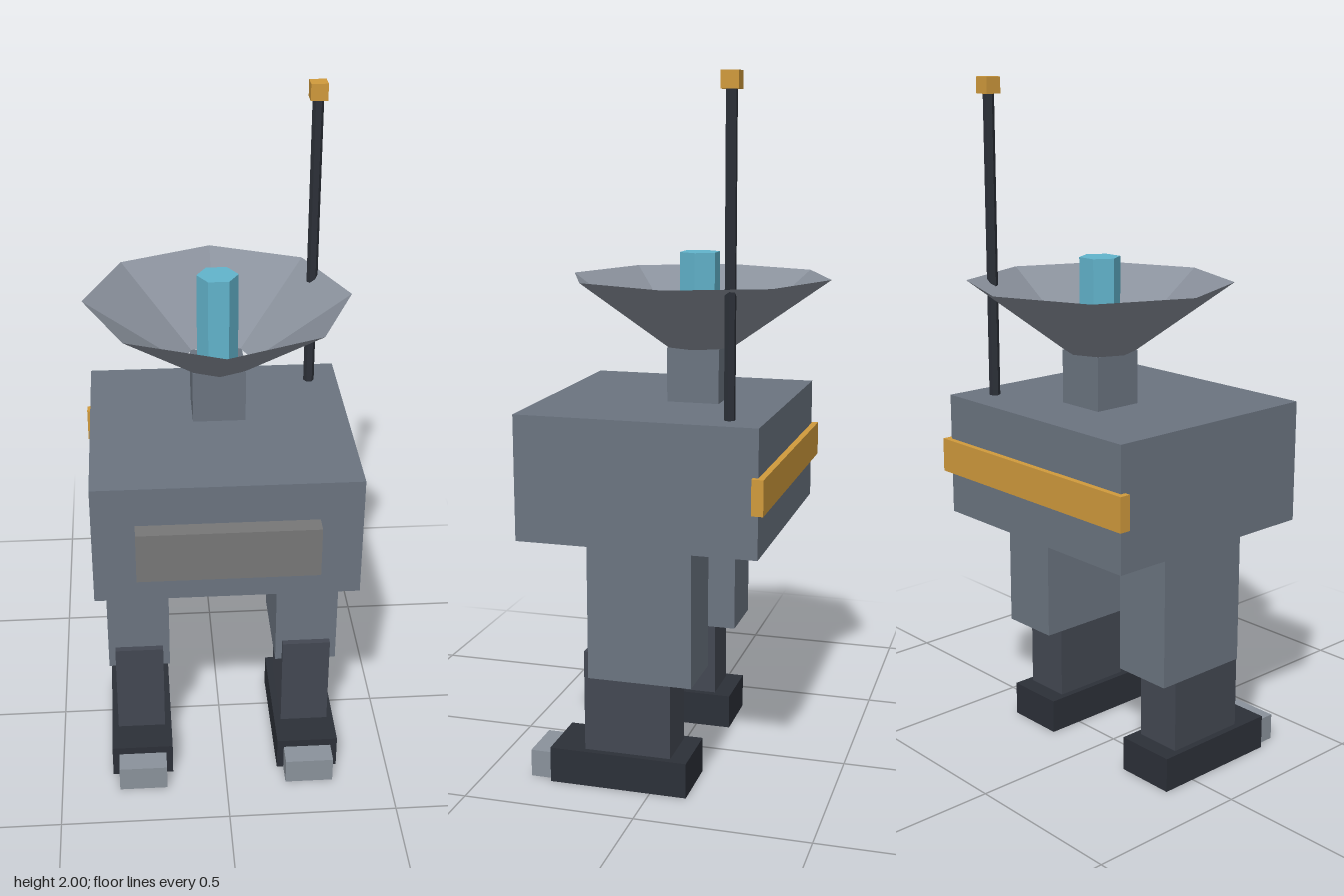
import * as THREE from 'three';

const paint = (color, side = THREE.FrontSide) =>
  new THREE.MeshStandardMaterial({ color, side, flatShading: true });

export function createModel() {
  const model = new THREE.Group();
  model.name = 'walkerRobot';

  const hull = paint(0x6b7480);
  const shinGrey = paint(0x434852);
  const dark = paint(0x2c3038);
  const light = paint(0x8a929b);
  const gold = paint(0xd09a3c);
  const panelGrey = paint(0x777777);
  const cyan = paint(0x62b4cc);
  const dishGrey = paint(0x8a919c, THREE.DoubleSide);

  // Box given by its extents on each axis
  function box(name, [x0, x1], [y0, y1], [z0, z1], material, parent = model) {
    const mesh = new THREE.Mesh(new THREE.BoxGeometry(x1 - x0, y1 - y0, z1 - z0), material);
    mesh.position.set((x0 + x1) / 2, (y0 + y1) / 2, (z0 + z1) / 2);
    mesh.name = name;
    parent.add(mesh);
  }

  // Upright cylinder or cone between two heights
  function column(name, rTop, rBottom, [y0, y1], x, z, sides, material, open = false, start = 0) {
    const geometry = new THREE.CylinderGeometry(rTop, rBottom, y1 - y0, sides, 1, open, start);
    const mesh = new THREE.Mesh(geometry, material);
    mesh.position.set(x, (y0 + y1) / 2, z);
    mesh.name = name;
    model.add(mesh);
  }

  // Body with front panel and rear stripe
  box('body', [-0.372, 0.372], [0.725, 1.086], [-0.313, 0.38], hull);
  box('frontPanel', [-0.253, 0.253], [0.82, 0.97], [0.37, 0.43], panelGrey);
  box('rearStripe', [-0.39, 0.39], [0.852, 0.952], [-0.331, -0.298], gold);

  // Legs
  for (const [name, side] of [['leftLeg', 1], ['rightLeg', -1]]) {
    const leg = new THREE.Group();
    leg.name = name;
    leg.position.x = side * 0.253;
    box('thigh', [-0.092, 0.092], [0.33, 0.727], [-0.122, 0.18], hull, leg);
    box('shin', [-0.072, 0.072], [0.1, 0.4], [-0.055, 0.199], shinGrey, leg);
    box('foot', [-0.092, 0.092], [0, 0.104], [-0.107, 0.299], dark, leg);
    box('toe', [-0.072, 0.072], [0, 0.08], [0.29, 0.366], light, leg);
    model.add(leg);
  }

  // Dish on its neck, open at both ends, with the feed in the middle
  box('neck', [-0.076, 0.076], [1.08, 1.242], [-0.128, 0.024], hull);
  column('dish', 0.38, 0.102, [1.242, 1.44], 0, -0.052, 8, dishGrey, true);
  column('dishFeed', 0.059, 0.059, [1.23, 1.51], 0, -0.052, 6, cyan, false, Math.PI / 6);

  // Antenna
  column('antennaMast', 0.016, 0.016, [1.08, 1.96], 0.287, -0.213, 6, dark, false, Math.PI / 6);
  box('antennaTip', [0.263, 0.311], [1.953, 2], [-0.237, -0.189], gold);

  return model;
}
